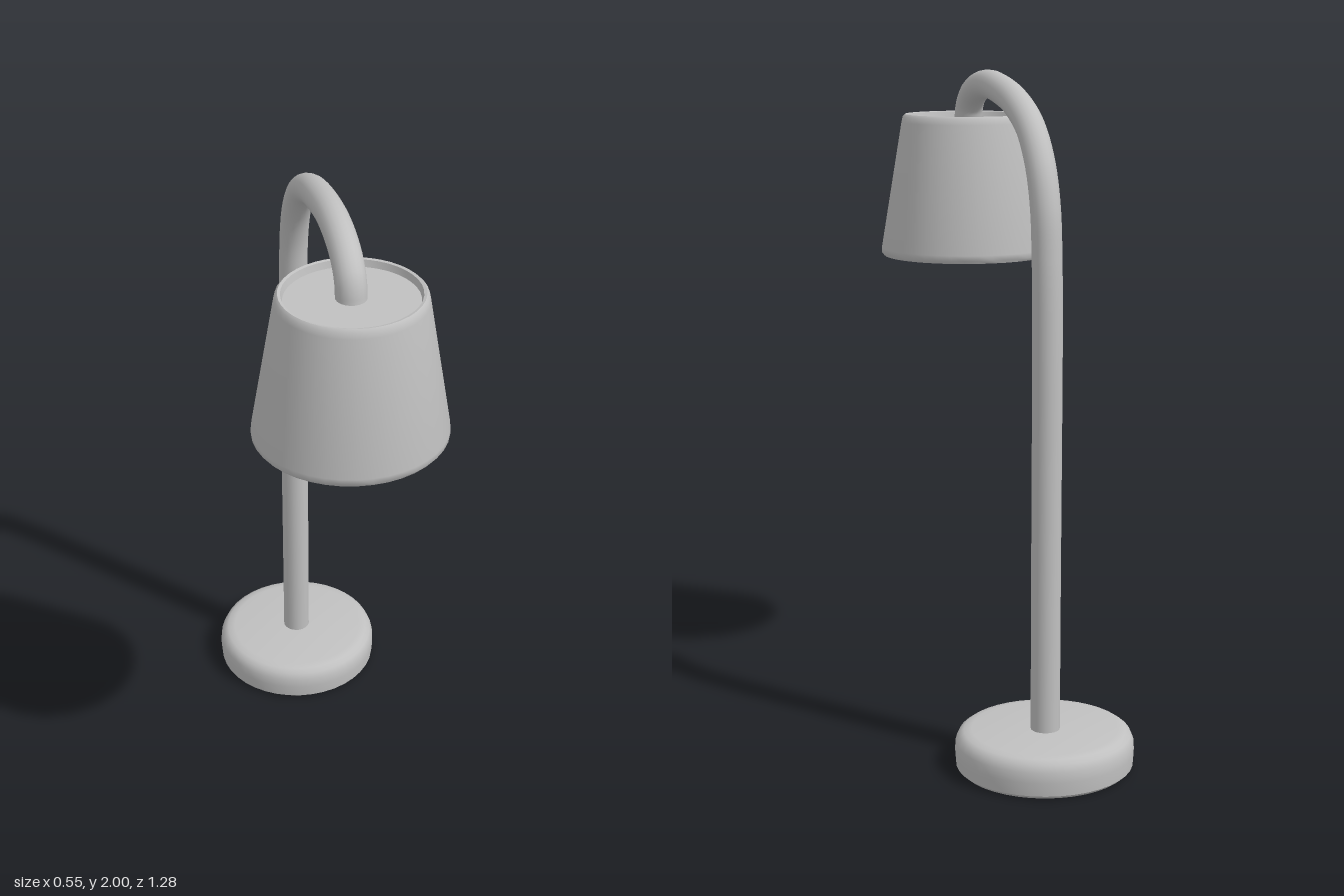
import * as THREE from 'three';
import { toCreasedNormals } from 'three/addons/utils/BufferGeometryUtils.js';

const SEGMENTS = 40;

// Revolve a [radius, y] profile; sharp edges stay sharp, the rest is smooth
function lathe(profile, material, name) {
  const points = profile.map(([r, y]) => new THREE.Vector2(r, y));
  const geometry = toCreasedNormals(new THREE.LatheGeometry(points, SEGMENTS), 0.7);
  const mesh = new THREE.Mesh(geometry, material);
  mesh.name = name;
  return mesh;
}

export function createModel() {
  const lamp = new THREE.Group();
  lamp.name = 'deskLamp';
  const grey = new THREE.MeshStandardMaterial({ color: 0xc0c0c0 });
  grey.name = 'light grey';

  // Round base with a softened upper edge
  const base = lathe([
    [0, 0], [0.25, 0], [0.261, 0.01], [0.264, 0.05], [0.262, 0.08],
    [0.253, 0.1], [0.238, 0.111], [0.215, 0.115], [0, 0.115],
  ], grey, 'base');
  base.scale.z = 0.98;
  base.position.z = -0.381;
  lamp.add(base);

  // Upright stem bending forward into the gooseneck
  const path = new THREE.CatmullRomCurve3([
    [0.09, -0.387], [0.5, -0.387], [0.9, -0.389], [1.25, -0.39], [1.5, -0.383],
    [1.64, -0.367], [1.75, -0.325], [1.845, -0.245], [1.91, -0.12],
    [1.945, 0.02], [1.959, 0.15], [1.948, 0.25], [1.921, 0.32],
    [1.88, 0.36], [1.82, 0.372],
  ].map(([y, z]) => new THREE.Vector3(0, y, z)));
  const stem = new THREE.Mesh(new THREE.TubeGeometry(path, 96, 0.043, 20), grey);
  stem.name = 'stem';
  lamp.add(stem);

  // Open shade: ceiling, inner wall, lower rim, outer wall, upper lip, recessed top
  const shade = lathe([
    [0, 1.815], [0.182, 1.815], [0.25, 1.435], [0.256, 1.424], [0.266, 1.421],
    [0.273, 1.43], [0.273, 1.446], [0.207, 1.835], [0.203, 1.853],
    [0.196, 1.86], [0.188, 1.858], [0.183, 1.838], [0, 1.838],
  ], grey, 'shade');
  shade.scale.z = 0.955;
  shade.position.z = 0.379;
  lamp.add(shade);

  return lamp;
}
